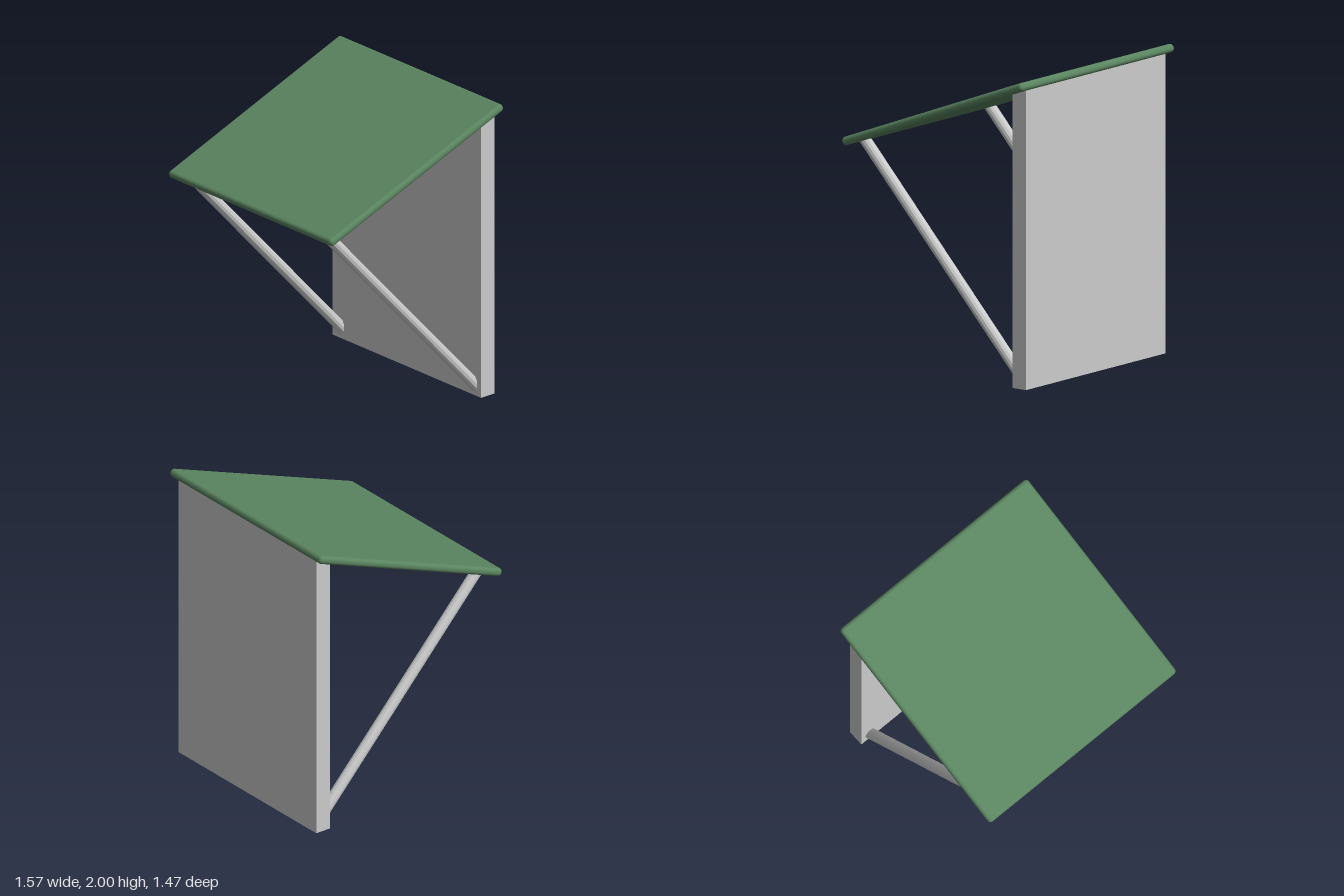
import * as THREE from 'three';
import { RoundedBoxGeometry } from 'three/addons/geometries/RoundedBoxGeometry.js';

const grey = new THREE.MeshStandardMaterial({ color: 0xcccccc });
const greyFaceted = new THREE.MeshStandardMaterial({ color: 0xcccccc, flatShading: true });
const green = new THREE.MeshStandardMaterial({ color: 0x5a8560 });

function addPart(group, name, geometry, material) {
  const mesh = new THREE.Mesh(geometry, material);
  mesh.name = name;
  group.add(mesh);
  return mesh;
}

// Straight round bar between two points
function addBar(group, name, from, to, radius) {
  const dir = to.clone().sub(from);
  const bar = addPart(group, name, new THREE.CylinderGeometry(radius, radius, dir.length(), 12), greyFaceted);
  bar.position.copy(from).add(to).multiplyScalar(0.5);
  bar.quaternion.setFromUnitVectors(new THREE.Vector3(0, 1, 0), dir.normalize());
}

export function createModel() {
  const model = new THREE.Group();
  model.name = 'awning';

  // Upright back wall, its top tucked into the roof
  const wall = addPart(model, 'backWall', new THREE.BoxGeometry(1.424, 1.95, 0.112), grey);
  wall.position.set(0, 0.975, -0.656);

  // Sloping roof panel with rounded edges, low at the front
  const roof = addPart(model, 'roofPanel', new RoundedBoxGeometry(1.57, 0.055, 1.564, 4, 0.025), green);
  roof.position.set(0, 1.705, 0);
  roof.rotation.x = THREE.MathUtils.degToRad(20.7);

  // Diagonal struts from the foot of the wall to the front of the roof
  for (const [name, x] of [['leftStrut', 0.638], ['rightStrut', -0.638]]) {
    addBar(model, name, new THREE.Vector3(x, 0.04, -0.637), new THREE.Vector3(x, 1.452, 0.668), 0.0375);
  }

  return model;
}
